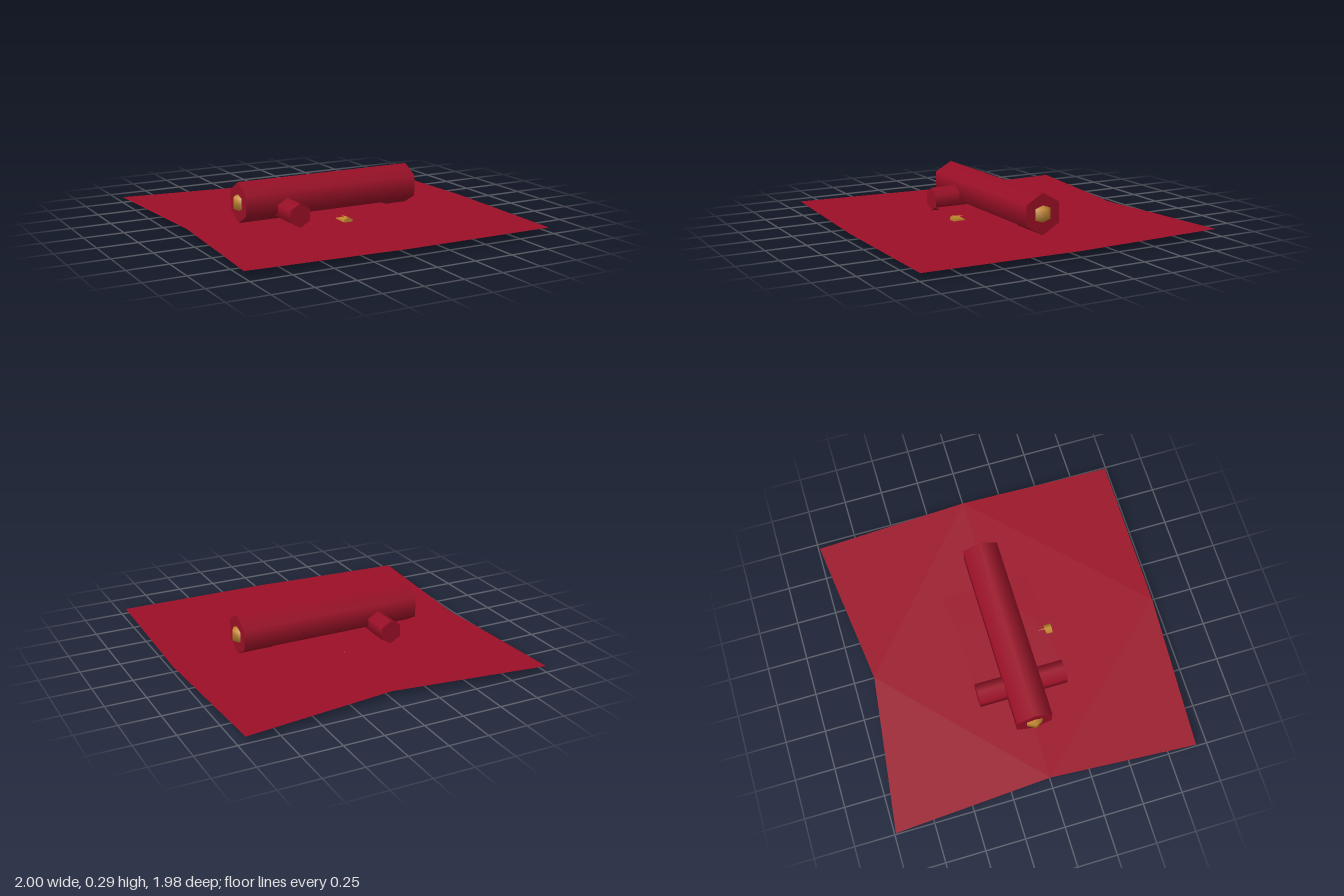
import * as THREE from 'three';

export function createModel() {
  const group = new THREE.Group();
  const red = new THREE.MeshStandardMaterial({ color: 0x9b0f27, side: THREE.DoubleSide });
  red.name = 'crimson cloth';
  const gold = new THREE.MeshStandardMaterial({ color: 0xc4882f });
  gold.name = 'gold';

  const add = (name, geometry, material, x, y, z) => {
    const mesh = new THREE.Mesh(geometry, material);
    mesh.name = name;
    mesh.position.set(x, y, z);
    group.add(mesh);
    return mesh;
  };

  // flat cloth outlined by [x, z] points
  const sheet = (points) => {
    const shape = new THREE.Shape(points.map(([x, z]) => new THREE.Vector2(x, -z)));
    return new THREE.ShapeGeometry(shape).rotateX(-Math.PI / 2);
  };

  // large ground cloth with uneven edges
  add('groundCloth', sheet([
    [-1, 0.925], [-0.01, 0.98], [0.975, 0.985], [1, 0],
    [0.95, -0.99], [-0.01, -0.87], [-1, -0.99], [-0.94, 0],
  ]), red, 0, 0.037, 0);

  // small unrolled cloth with wavy sides
  add('unrolledCloth', sheet([
    [-0.34, 0.28], [-0.27, 0.277], [0, 0.25], [0.17, 0.275], [0.31, 0.25], [0.38, 0.25],
    [0.37, -0.02], [0.38, -0.31], [0.31, -0.31], [0.17, -0.285], [0, -0.315], [-0.27, -0.285], [-0.34, -0.285],
  ]), red, 0, 0.063, 0);

  // main six-sided roll lying across
  add('mainRoll', new THREE.CylinderGeometry(0.128, 0.128, 1.19, 6)
    .rotateY(Math.PI / 6).rotateZ(Math.PI / 2), red, -0.015, 0.164, 0);

  // smaller roll at the end of the unrolled cloth
  add('smallRoll', new THREE.CylinderGeometry(0.075, 0.075, 0.565, 6)
    .rotateX(Math.PI / 2), red, -0.333, 0.111, -0.0025);

  // gold knobs set into the ends of the main roll
  for (const side of [-1, 1]) {
    add(side > 0 ? 'leftKnob' : 'rightKnob', new THREE.SphereGeometry(0.067, 6, 3),
      gold, -0.015 + side * 0.568, 0.164, 0);
  }

  // tapered gold pointer half sunk in the ground cloth
  add('pointer', new THREE.CylinderGeometry(0.034, 0.002, 0.6, 6)
    .rotateX(Math.PI / 2), gold, -0.013, 0.034, -0.003);

  return group;
}
